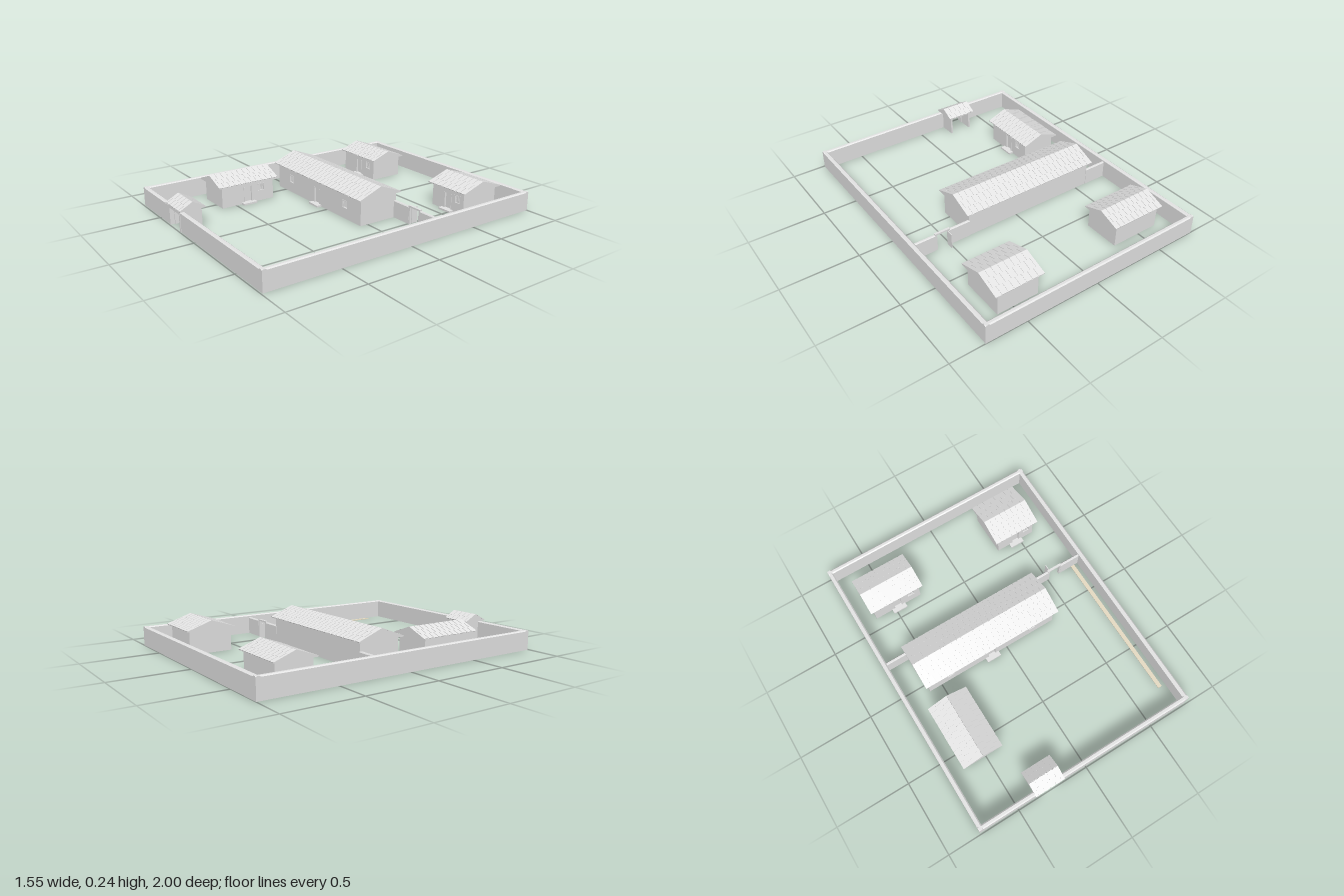
import * as THREE from 'three';
import { mergeGeometries } from 'three/addons/utils/BufferGeometryUtils.js';

const material = (name, color) => {
  const m = new THREE.MeshStandardMaterial({ color });
  m.name = name;
  return m;
};

export function createModel() {
  const plaster = material('pale grey', 0xe5e5e5);
  const beige = material('beige timber', 0xeadfc6);

  const compound = new THREE.Group();
  compound.name = 'walledCompound';

  const add = (parent, name, geometry, mat = plaster) => {
    const mesh = new THREE.Mesh(geometry, mat);
    mesh.name = name;
    parent.add(mesh);
    return mesh;
  };
  // Box given by its low and high corner on each axis
  const block = (parent, name, x0, x1, y0, y1, z0, z1, mat) =>
    add(parent, name, new THREE.BoxGeometry(x1 - x0, y1 - y0, z1 - z0)
      .translate((x0 + x1) / 2, (y0 + y1) / 2, (z0 + z1) / 2), mat);

  // Constant cross-section in (z, y), centred along x
  const prism = (points, length) => {
    const shape = new THREE.Shape(points.map(([a, b]) => new THREE.Vector2(a, b)));
    return new THREE.ExtrudeGeometry(shape, { depth: length, bevelEnabled: false })
      .translate(0, 0, -length / 2).rotateY(Math.PI / 2);
  };

  // Boundary wall with a bevelled coping
  function wall(name, x0, z0, x1, z1, t = 0.03, h = 0.129) {
    const a = t / 2, b = a * 0.5;
    const profile = [[-a, 0], [a, 0], [a, h - 0.006], [b, h], [-b, h], [-a, h - 0.006]];
    const m = add(compound, name, prism(profile, Math.hypot(x1 - x0, z1 - z0)));
    m.position.set((x0 + x1) / 2, 0, (z0 + z1) / 2);
    m.rotation.y = -Math.atan2(z1 - z0, x1 - x0);
  }

  // Gabled roof: solid core with staggered tiles on both slopes
  function roof(parent, width, depth, eave, ridge) {
    const half = depth / 2;
    const g = new THREE.Group();
    g.name = 'roof';
    parent.add(g);
    const core = ridge - 0.004;
    add(g, 'gableCore', prism([[-half, eave - 0.004], [half, eave - 0.004], [half, eave], [0, core], [-half, eave]],
      width - 0.002));
    const angle = Math.atan2(core - eave, half);
    const length = Math.hypot(core - eave, half);
    const rows = Math.max(2, Math.round(length / 0.054)), rowSize = length / rows;
    const cols = Math.round(width / 0.04), pitch = width / cols, gap = 0.005;
    const tiles = [];
    for (let r = 0; r < rows; r++) {
      const shift = r % 2 ? pitch / 2 : 0;
      for (let c = 0; c < cols + r % 2; c++) {
        const start = -width / 2 + c * pitch - shift;
        const x0 = Math.max(-width / 2, start);
        const x1 = c === cols - 1 + r % 2 ? width / 2 : start + pitch - gap;
        tiles.push(new THREE.BoxGeometry(x1 - x0, 0.003, rowSize)
          .translate((x0 + x1) / 2, 0.0015, (r + 0.5) * rowSize));
      }
    }
    const tileGeometry = mergeGeometries(tiles);
    for (const turn of [0, Math.PI]) {
      const side = new THREE.Group();
      side.name = 'roofSlope';
      side.rotation.y = turn;
      g.add(side);
      const slope = add(side, 'roofTiles', tileGeometry);
      slope.position.y = core;
      slope.rotation.x = angle;
    }
  }

  const rectangle = (Type, x0, x1, y0, y1) => new Type([
    new THREE.Vector2(x0, y0), new THREE.Vector2(x1, y0), new THREE.Vector2(x1, y1), new THREE.Vector2(x0, y1)]);

  // House facing local +z, with a central recessed door and barred windows
  function house({ name, x, z, turn = 0, body, roofSize, eave, ridge, windows }) {
    const g = new THREE.Group();
    g.name = name;
    g.position.set(x, 0, z);
    g.rotation.y = turn;
    compound.add(g);
    const [w, d] = body, front = d / 2, back = front - 0.014;
    block(g, 'houseBody', -w / 2, w / 2, 0, eave, -d / 2, back);

    const face = rectangle(THREE.Shape, -w / 2, w / 2, 0, eave);
    face.holes.push(rectangle(THREE.Path, -0.028, 0.028, 0.012, 0.115));
    for (const wx of windows) face.holes.push(rectangle(THREE.Path, wx - 0.022, wx + 0.022, 0.07, 0.12));
    add(g, 'frontWall', new THREE.ExtrudeGeometry(face, { depth: 0.014, bevelEnabled: false })
      .translate(0, 0, back));

    block(g, 'doorLeaf', -0.028, 0.028, 0.012, 0.115, back, back + 0.003);
    for (const s of [-1, 1])
      block(g, 'doorJamb', s * 0.029 - 0.003, s * 0.029 + 0.003, 0.012, 0.117, front - 0.01, front + 0.003);
    block(g, 'doorStep', -0.05, 0.05, 0, 0.012, front, front + 0.033);
    for (const wx of windows) {
      for (let i = -1; i <= 1; i++)
        block(g, 'windowBar', wx + i * 0.011 - 0.002, wx + i * 0.011 + 0.002, 0.07, 0.12, front - 0.006, front - 0.002);
      for (const y of [0.07, 0.12])
        block(g, 'windowRail', wx - 0.025, wx + 0.025, y - 0.003, y + 0.003, front - 0.006, front + 0.002);
    }
    roof(g, ...roofSize, eave, ridge);
  }

  house({ name: 'mainHall', x: -0.114, z: -0.086, body: [0.95, 0.28], roofSize: [0.995, 0.327],
    eave: 0.173, ridge: 0.24, windows: [-0.31, 0.31] });
  house({ name: 'backRightHouse', x: -0.473, z: -0.699, body: [0.34, 0.24], roofSize: [0.387, 0.275],
    eave: 0.15, ridge: 0.204, windows: [0.105] });
  house({ name: 'backLeftHouse', x: 0.467, z: -0.725, body: [0.28, 0.285], roofSize: [0.33, 0.327],
    eave: 0.155, ridge: 0.213, windows: [0.085] });
  house({ name: 'sideHouse', x: -0.528, z: 0.41, turn: Math.PI / 2, body: [0.385, 0.235], roofSize: [0.44, 0.275],
    eave: 0.148, ridge: 0.204, windows: [0.1] });

  // Outer walls, broken at the entrance
  wall('backWall', -0.775, -0.985, 0.775, -0.985);
  wall('rightWall', -0.76, -1, -0.76, 0.991);
  wall('leftWall', 0.76, -1, 0.76, 0.991);
  wall('frontWallRight', -0.775, 0.976, -0.36, 0.976);
  wall('frontWallLeft', -0.2, 0.976, 0.775, 0.976);

  // Cross wall on both sides of the main hall
  wall('crossWallRight', -0.75, -0.22, -0.585, -0.22, 0.018, 0.115);
  wall('crossWallInner', 0.355, -0.22, 0.505, -0.22, 0.018, 0.115);
  wall('crossWallOuter', 0.6, -0.22, 0.75, -0.22, 0.018, 0.115);

  // Inner doorway with its open leaf
  for (const px of [0.505, 0.595])
    block(compound, 'innerDoorPost', px - 0.006, px + 0.006, 0, 0.115, -0.228, -0.212);
  block(compound, 'innerDoorLintel', 0.498, 0.602, 0.112, 0.122, -0.228, -0.212);
  block(compound, 'openDoorLeaf', 0.512, 0.517, 0.005, 0.108, -0.272, -0.226);

  // Roofed entrance gate
  const gate = new THREE.Group();
  gate.name = 'entranceGate';
  gate.position.set(-0.278, 0, 0.915);
  compound.add(gate);
  for (const s of [-1, 1]) {
    const edge = (a, b) => (s > 0 ? [a, b] : [-b, -a]);
    block(gate, 'gateSideWall', ...edge(0.07, 0.084), 0, 0.138, -0.065, 0.079);
    block(gate, 'gateFrame', ...edge(0.063, 0.07), 0, 0.115, 0.03, 0.05);
  }
  block(gate, 'gateLintel', -0.07, 0.07, 0.113, 0.138, 0.03, 0.079);
  block(gate, 'gateRearLintel', -0.07, 0.07, 0.118, 0.138, -0.065, -0.045);
  roof(gate, 0.207, 0.17, 0.138, 0.187);

  // Long flat timber lying beside the left wall
  block(compound, 'groundBeam', 0.691, 0.718, 0, 0.005, -0.21, 0.822, beige);

  return compound;
}
